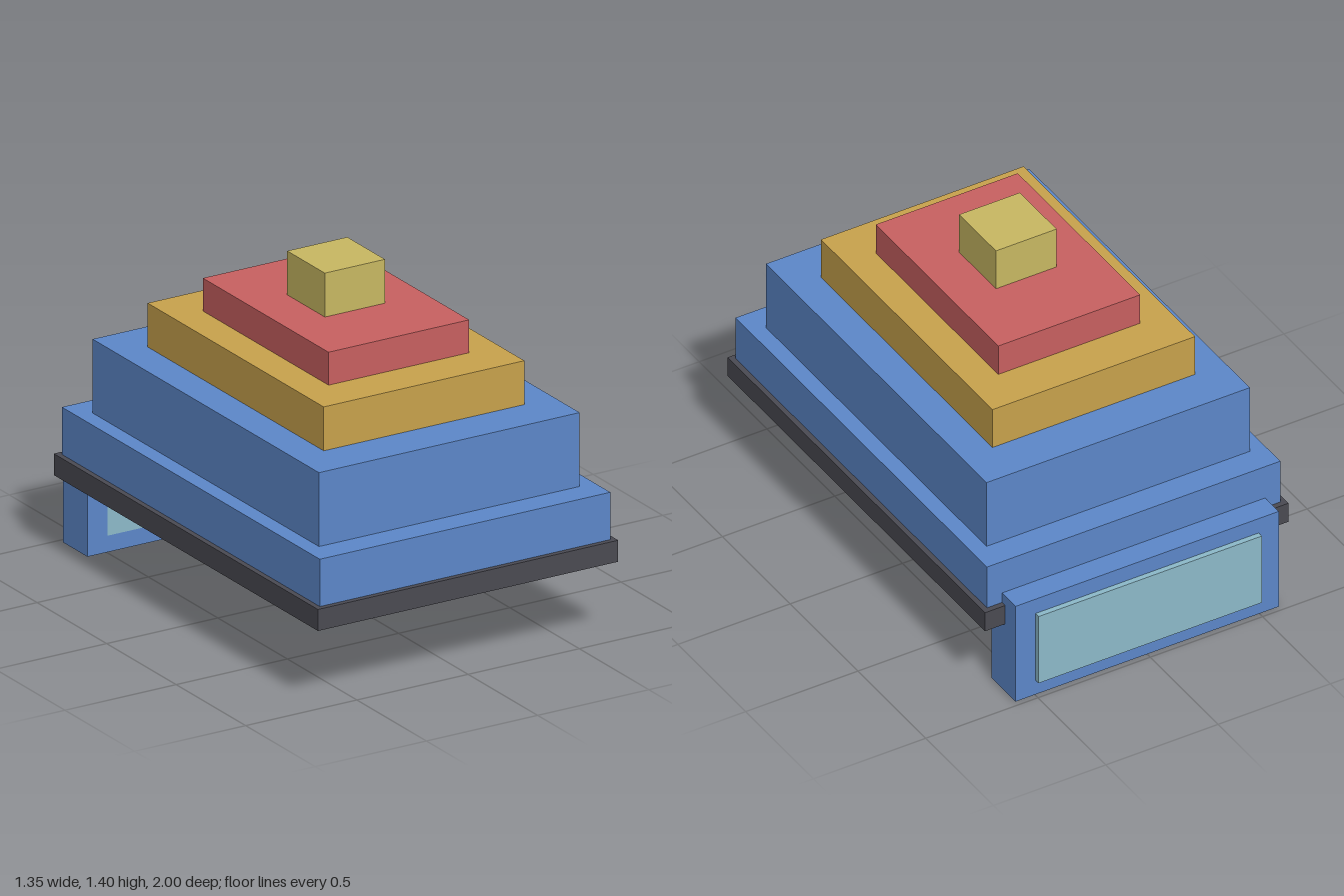
import * as THREE from 'three';

function material(name, color) {
  const m = new THREE.MeshStandardMaterial({ color });
  m.name = name;
  return m;
}

export function createModel() {
  const model = new THREE.Group();
  model.name = 'steppedModel';

  const blue = material('blue', 0x5c87c9);
  const dark = material('darkGrey', 0x4a4a52);
  const gold = material('gold', 0xc8a24c);
  const red = material('red', 0xc86060);
  const yellow = material('yellow', 0xc8b862);
  const teal = material('paleTeal', 0x8cb9c9);

  // Box from its half width and its y and z limits
  function block(name, mat, halfWidth, y0, y1, z0, z1) {
    const mesh = new THREE.Mesh(new THREE.BoxGeometry(halfWidth * 2, y1 - y0, z1 - z0), mat);
    mesh.position.set(0, (y0 + y1) / 2, (z0 + z1) / 2);
    mesh.name = name;
    model.add(mesh);
  }

  // Stepped tiers, bottom to top
  block('basePlate', dark, 0.675, 0.32, 0.408, -0.9, 1);
  block('lowerTier', blue, 0.653, 0.408, 0.602, -0.877, 0.978);
  block('mainTier', blue, 0.586, 0.602, 0.905, -0.763, 0.865);
  block('goldTier', gold, 0.451, 0.905, 1.085, -0.583, 0.683);
  block('redTier', red, 0.316, 1.085, 1.22, -0.402, 0.502);
  block('topCube', yellow, 0.135, 1.22, 1.4, -0.085, 0.186);

  // Rear panel with a window slab running through it
  block('rearPanel', blue, 0.586, 0, 0.453, -0.977, -0.8);
  block('rearWindow', teal, 0.497, 0.068, 0.385, -1, -0.798);

  return model;
}
